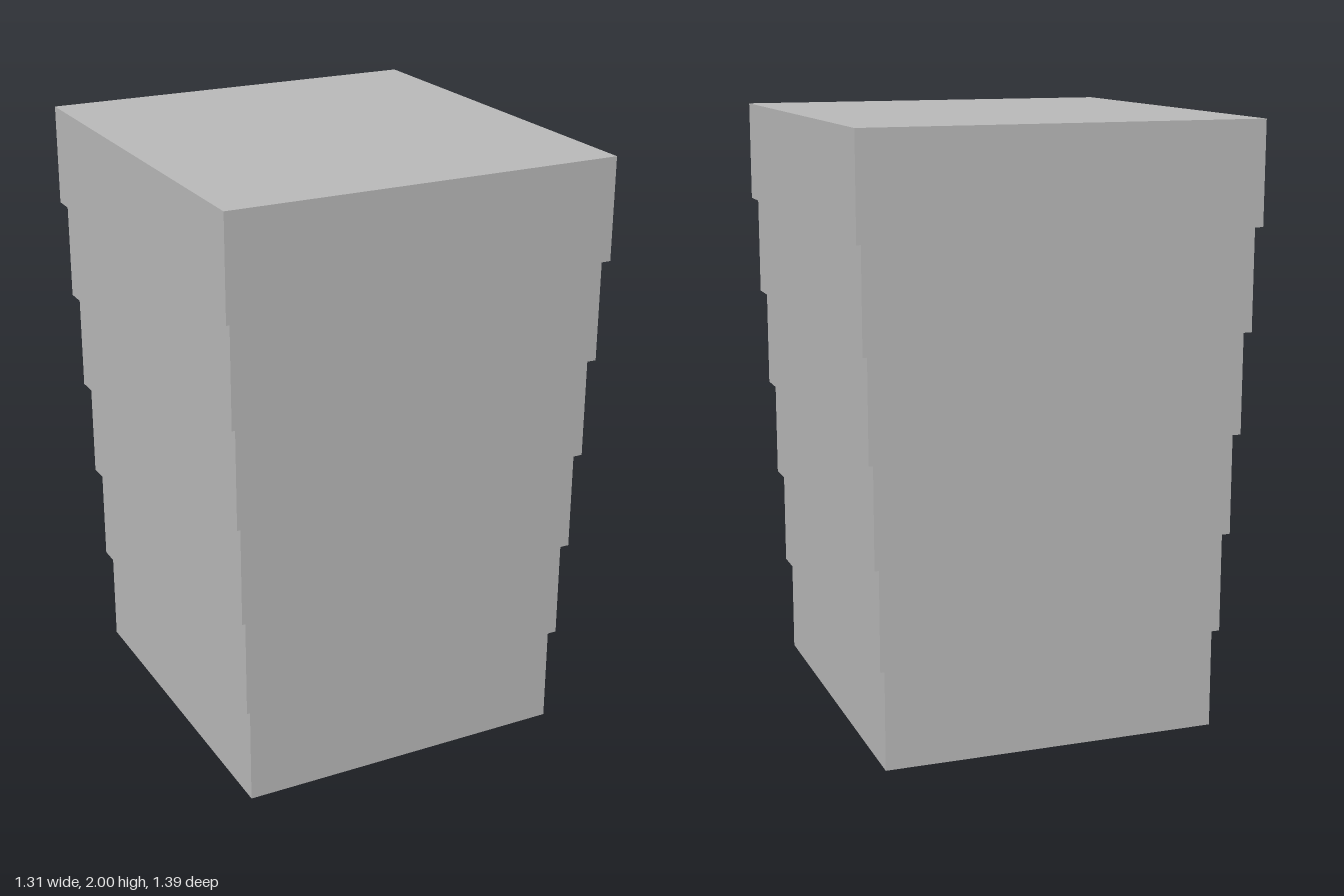
import * as THREE from 'three';

// Stack of six square-edged tiers, each slightly wider than the one below
export function createModel() {
  const group = new THREE.Group();
  group.name = 'steppedBlock';
  const grey = new THREE.MeshStandardMaterial({ color: 0xb8b8b8 });
  grey.name = 'lightGrey';

  const tiers = 6;
  const height = 2 / tiers;
  for (let i = 0; i < tiers; i++) {
    const t = i / (tiers - 1);
    const width = THREE.MathUtils.lerp(1.12, 1.307, t);
    const depth = THREE.MathUtils.lerp(1.213, 1.395, t);
    const tier = new THREE.Mesh(new THREE.BoxGeometry(width, height, depth), grey);
    tier.name = `tier${i + 1}`;
    tier.position.y = (i + 0.5) * height;
    group.add(tier);
  }
  return group;
}
